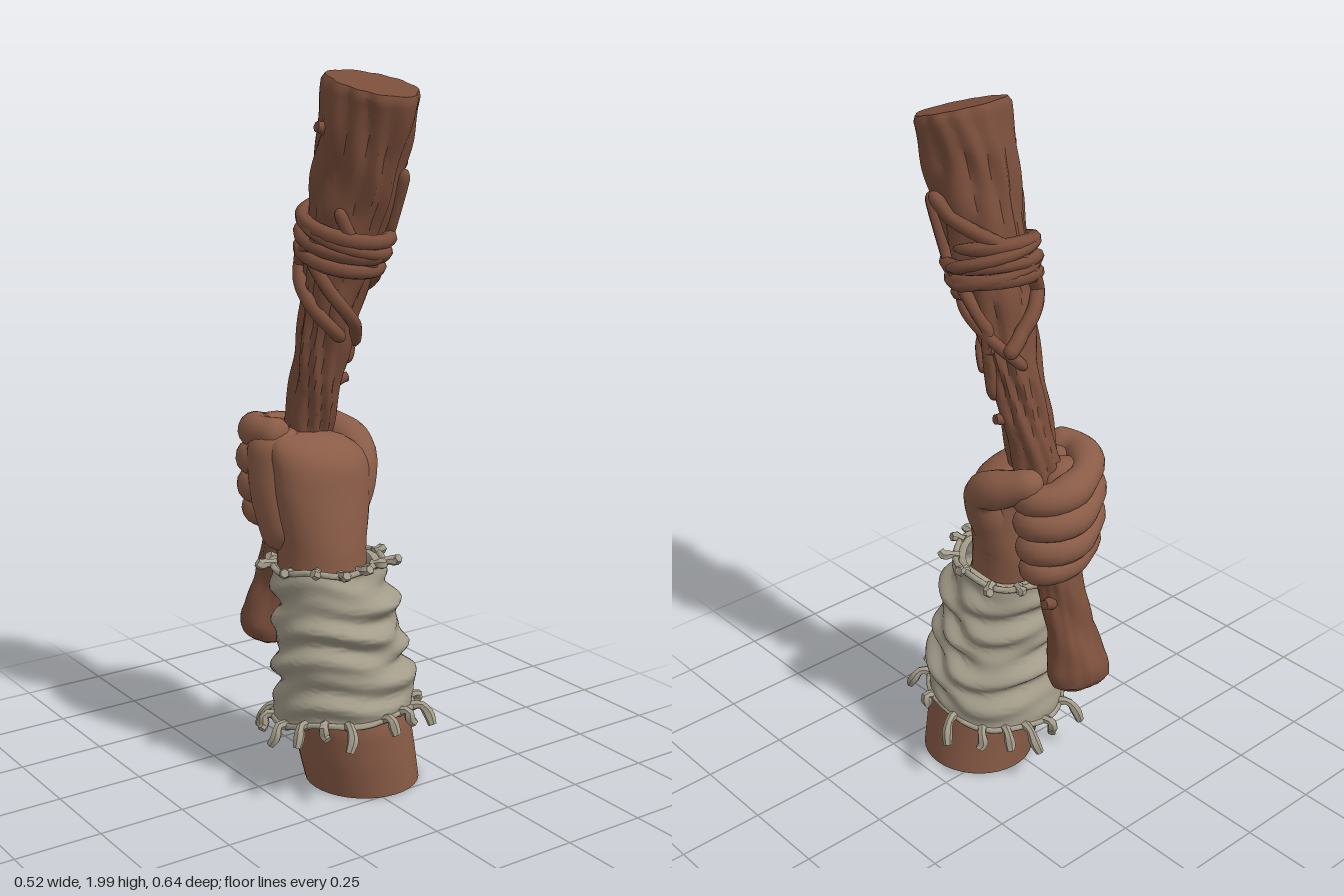
import * as THREE from 'three';
import { toCreasedNormals } from 'three/addons/utils/BufferGeometryUtils.js';

const V = (x, y, z) => new THREE.Vector3(x, y, z);
const TAU = Math.PI * 2;

// Piecewise linear lookup: rows of [key, value, value, ...]
function lookup(rows, k) {
  let i = 0;
  while (i < rows.length - 2 && k > rows[i + 1][0]) i++;
  const [a, b] = [rows[i], rows[i + 1]];
  const f = THREE.MathUtils.clamp((k - a[0]) / (b[0] - a[0]), 0, 1);
  return a.slice(1).map((v, n) => v + (b[n + 1] - v) * f);
}

// Closed skin over a stack of rings, with a fan at each end
function skin(rings, capped = true, crease = 0.9) {
  const n = rings[0].length, last = rings.length - 1, idx = [];
  const pts = rings.flat();
  for (let i = 0; i < last; i++) {
    for (let j = 0; j < n; j++) {
      const k = (j + 1) % n, a = i * n + j, b = i * n + k;
      idx.push(a, b, a + n, b, b + n, a + n);
    }
  }
  if (capped) {
    const mid = (r) => r.reduce((s, p) => s.add(p), V(0, 0, 0)).divideScalar(n);
    const c = pts.length;
    pts.push(mid(rings[0]), mid(rings[last]));
    for (let j = 0; j < n; j++) {
      const k = (j + 1) % n;
      idx.push(c, k, j, c + 1, last * n + j, last * n + k);
    }
  }
  const g = new THREE.BufferGeometry().setFromPoints(pts);
  g.setIndex(idx);
  return toCreasedNormals(g, crease);
}

// Sweep a round section along a curve; radius(t, angle)
function sweep(points, radius, steps = 16, sides = 10, round = false, crease = 0.9) {
  const curve = new THREE.CatmullRomCurve3(points);
  const fr = curve.computeFrenetFrames(200), rings = [];
  for (let i = 0; i <= steps; i++) {
    const s = i / steps, t = round ? (1 - Math.cos(Math.PI * s)) / 2 : s;
    const f = Math.round(t * 200), c = curve.getPointAt(t), ring = [];
    for (let j = 0; j < sides; j++) {
      const a = (j / sides) * TAU, r = radius(t, a);
      ring.push(c.clone().addScaledVector(fr.normals[f], r * Math.cos(a))
        .addScaledVector(fr.binormals[f], r * Math.sin(a)));
    }
    rings.push(ring);
  }
  return skin(rings, true, crease);
}

// Radius that rounds off to a dome at both ends
const dome = (r, e = 0.2) => (t) => {
  const d = Math.min(t, 1 - t, e) / e;
  return Math.max(0.001, r * Math.sqrt(1 - (1 - d) ** 2));
};

export function createModel() {
  const model = new THREE.Group();
  const material = (name, color, side = THREE.FrontSide) => {
    const m = new THREE.MeshStandardMaterial({ color, side });
    m.name = name;
    return m;
  };
  const skinTone = material('skin', 0x8a5c47);
  const wood = material('wood', 0x7a4e3b);
  const linen = material('linen', 0xa39c8a, THREE.DoubleSide);
  const add = (name, geo, mat) => {
    const m = new THREE.Mesh(geo, mat);
    m.name = name;
    model.add(m);
  };

  // Forearm, wrist and palm: y, centre x, centre z, half width, half depth
  const arm = [
    [0, 0.043, 0.092, 0.162, 0.168], [0.1, 0.022, 0.092, 0.166, 0.174], [0.2, 0.004, 0.09, 0.166, 0.178],
    [0.45, -0.025, 0.07, 0.145, 0.145], [0.62, -0.055, 0.035, 0.125, 0.125], [0.7, -0.055, 0.03, 0.126, 0.125],
    [0.78, -0.052, 0.032, 0.138, 0.11], [0.86, -0.05, 0.028, 0.148, 0.1], [0.92, -0.05, 0.02, 0.148, 0.1],
    [0.96, -0.058, 0.006, 0.142, 0.096], [0.99, -0.075, -0.008, 0.12, 0.078], [1.012, -0.095, -0.02, 0.08, 0.05],
  ];
  const armRings = [];
  for (let i = 0; i <= 50; i++) {
    const y = (1.012 * i) / 50, [cx, cz, rx, rz] = lookup(arm, y), ring = [];
    for (let j = 0; j < 36; j++) {
      const a = (j / 36) * TAU;
      ring.push(V(cx + rx * Math.sin(a), y, cz + rz * Math.cos(a)));
    }
    armRings.push(ring);
  }
  add('forearmAndPalm', skin(armRings), skinTone);

  // Knuckle side of the fist, filling the space between palm, fingers and handle
  add('knuckles', sweep([V(-0.115, 0.68, 0.0), V(-0.142, 0.85, -0.045), V(-0.14, 1.03, -0.065)],
    dome(0.085, 0.2), 24, 18, true), skinTone);
  add('innerFist', sweep([V(-0.085, 0.715, -0.155), V(-0.085, 0.87, -0.15), V(-0.08, 1.025, -0.135)],
    dome(0.078, 0.2), 24, 18, true), skinTone);

  // Four fingers curling round the back of the handle
  [0.972, 0.9, 0.826, 0.762].forEach((y, i) => {
    const s = [0.97, 1, 0.98, 0.9][i], k = -0.01 * i, lift = 0.038 - 0.008 * i;
    add('finger', sweep([
      V(-0.14, y + lift, -0.01), V(-0.178 * s, y + lift, -0.09), V(-0.145 * s, y + lift * 0.7, -0.168 + k / 3),
      V(-0.06, y + lift * 0.2, -0.22 * s + k / 2), V(0.025, y - 0.008, -0.214 * s + k), V(0.058, y - 0.014, -0.16 + k),
      V(0.035, y - 0.014, -0.105 + k),
    ], (t) => dome(0.05 * s, 0.1)(t) * (1 + 0.07 * Math.cos(t * 20)), 30, 16, true), skinTone);
  });

  // Thumb with its fleshy base, lying across the top of the grip
  add('thumb', sweep([V(0.0, 0.69, 0.025), V(0.042, 0.82, 0.025), V(0.085, 0.92, 0.01),
    V(0.1, 0.956, -0.05), V(0.085, 0.985, -0.115), V(0.045, 1.02, -0.185)],
  (t) => dome(0.07 - 0.024 * t, 0.12)(t) * (1 + 0.06 * Math.cos(t * 18)), 28, 16, true), skinTone);

  // Club: straight leaning axis, flared top with bark ridges, knobbed foot
  const axis = (y) => V(-0.06 + (y - 0.36) * 0.04, y, -0.245 + (y - 0.36) * 0.269);
  const clubRadius = [[0.35, 0.06], [0.365, 0.08], [0.4, 0.087], [0.44, 0.078], [0.52, 0.062], [0.7, 0.06],
    [1.1, 0.072], [1.3, 0.078], [1.5, 0.09], [1.7, 0.109], [1.85, 0.12], [1.945, 0.125], [1.96, 0.117]];
  const bark = (y, a) => {
    const w = THREE.MathUtils.smoothstep(y, 0.5, 1.5) * (1 - 0.5 * THREE.MathUtils.smoothstep(y, 1.8, 1.95));
    const ridge = Math.abs(Math.sin(4.5 * a + 1.3 * Math.sin(6 * y) + Math.sin(2 * a + 9 * y)));
    return (0.004 + 0.012 * w) * (ridge - 0.6) + 0.005 * Math.sin(2 * a + 5 * y) + 0.003 * Math.sin(31 * y + 3 * a);
  };
  add('club', sweep([axis(0.35), axis(1.96)], (t, a) => {
    const y = 0.35 + 1.61 * t;
    return lookup(clubRadius, y)[0] + bark(y, a);
  }, 110, 48, false, 0.7), wood);

  // Vines bound round the club; each strand runs through [y, turns, lift] stops
  const onClub = (y, turn, lift) => {
    const r = lookup(clubRadius, y)[0] + lift, a = turn * TAU;
    return axis(y).add(V(r * Math.cos(a), -0.25 * r * Math.sin(a), r * Math.sin(a)));
  };
  const strand = (stops, r) => {
    const pts = [];
    for (let i = 0; i <= 40; i++) {
      const [y, turn, lift] = lookup(stops.map((s, n) => [n, ...s]), (i / 40) * (stops.length - 1));
      pts.push(onClub(y, turn, lift));
    }
    add('vine', sweep(pts, dome(r, 0.05), 70, 8, true), wood);
  };
  strand([[1.49, 0, 0.016], [1.53, 1, 0.02], [1.57, 2, 0.022], [1.62, 3, 0.018]], 0.021);
  strand([[1.56, 0.4, 0.014], [1.52, 1.0, 0.026], [1.6, 1.6, 0.022], [1.57, 2.04, 0.036]], 0.017);
  strand([[1.3, 0.25, 0.004], [1.45, 0.6, 0.012], [1.58, 0.75, 0.018], [1.7, 0.98, 0.01], [1.77, 1.02, 0.026]], 0.02);
  strand([[1.33, -0.12, 0.05], [1.38, -0.2, 0.016], [1.46, -0.36, 0.012], [1.54, -0.5, 0.014], [1.6, -0.6, 0.01]], 0.021);
  strand([[1.2, 0.05, 0.002], [1.4, -0.05, 0.008], [1.6, 0.1, 0.014], [1.76, 0.12, 0.01]], 0.018);
  strand([[1.28, -0.2, 0.004], [1.42, 0.02, 0.01], [1.56, 0.3, 0.014], [1.66, 0.4, 0.004]], 0.017);
  strand([[1.52, 0.5, 0.014], [1.43, 0.36, 0.01], [1.34, 0.2, 0.008], [1.27, 0.1, 0.002]], 0.018);

  // Cut twigs along the club
  for (const [y, turn] of [[1.34, -0.04], [1.145, 0.02], [0.61, -0.02], [1.84, 0.52]]) {
    add('twigStub', sweep([onClub(y, turn, -0.02), onClub(y + 0.008, turn, 0.022)],
      (t) => 0.017 + 0.003 * Math.sin(t * 5), 4, 8), wood);
  }

  // Linen sleeve with slanting folds: height, centre x, centre z, half width, half depth
  const sleeve = [[0, -0.005, 0.065, 0.2, 0.2], [0.18, 0, 0.07, 0.2, 0.195], [0.35, -0.012, 0.068, 0.188, 0.182],
    [0.55, -0.025, 0.066, 0.176, 0.175], [0.75, -0.03, 0.065, 0.17, 0.172], [0.9, -0.038, 0.045, 0.16, 0.165],
    [1, -0.04, 0.04, 0.155, 0.16]];
  const sleevePoint = (t, a, grow = 0) => {
    const [cx, cz, rx, rz] = lookup(sleeve, t), s = Math.sin(a), c = Math.cos(a);
    const w = Math.sin(Math.PI * t) ** 0.5;
    const fold = grow + w * (0.012 * Math.sin(24 * t + 1.8 * Math.sin(a + 0.6) + 1.1 * Math.sin(2 * a))
      + 0.008 * Math.sin(37 * t - 2 * Math.sin(a + 2) + 1.5 * Math.cos(3 * a)));
    const z = cz + (rz + fold) * c;
    const y = 0.205 + 0.44 * t + (z - cz) * (0.17 - 0.09 * t) + 0.006 * Math.sin(5 * a) * (1 - w);
    return V(cx + (rx + fold) * s, y, z);
  };
  const clothRings = [];
  for (let i = -1; i <= 57; i++) {
    const t = THREE.MathUtils.clamp(i / 56, 0, 1), ring = [];
    for (let j = 0; j < 60; j++) ring.push(sleevePoint(t, (j / 60) * TAU, i < 0 || i > 56 ? -0.03 : 0));
    clothRings.push(ring);
  }
  add('sleeve', skin(clothRings, false, 1.2), linen);

  // Rolled hems with a frayed fringe
  for (const [t, count, drop, reach] of [[0, 15, -0.05, 0.05], [1, 13, 0.012, 0.035]]) {
    const hem = [];
    for (let j = 0; j <= 48; j++) hem.push(sleevePoint(t, (j / 48) * TAU));
    add('hem', sweep(hem, () => 0.009, 96, 8), linen);
    for (let i = 0; i < count; i++) {
      const a = ((i + 0.3 * Math.sin(i * 5.3)) / count) * TAU, k = 0.85 + 0.3 * Math.sin(i * 3.7);
      const p = (out, y, turn) => sleevePoint(t, a + turn, out).add(V(0, y, 0));
      add('fringe', sweep([p(-0.01, 0, 0), p(reach * 0.5, 0.006, 0.02), p(reach * 0.85 * k, drop * 0.45, 0.04),
        p(reach * 1.1 * k, drop * k, 0.04 + 0.05 * Math.sin(i * 2.1))],
      (u) => 0.014 + 0.002 * Math.cos(u * 9), 8, 6), linen);
    }
  }
  return model;
}
